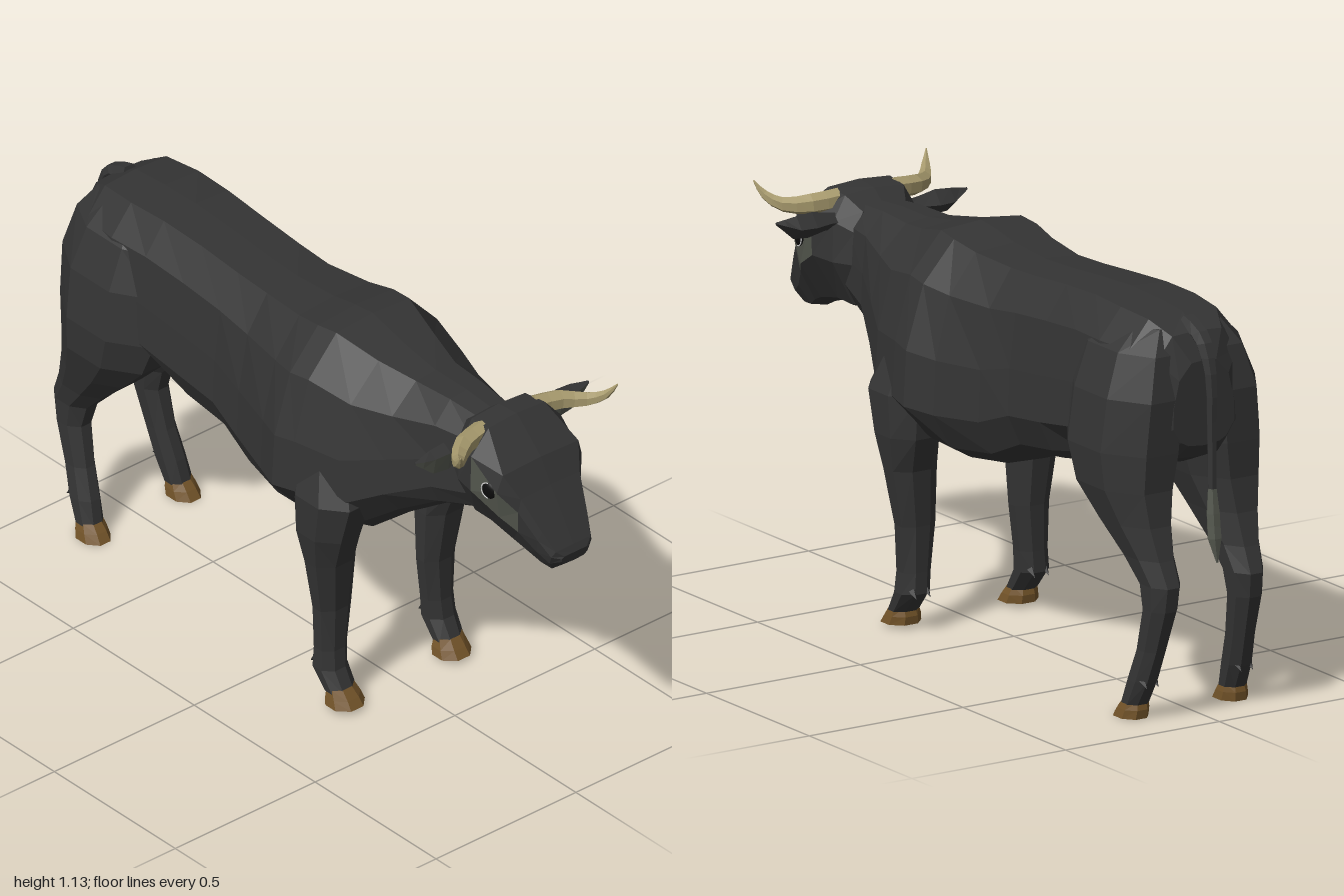
import * as THREE from 'three';

const mat = (name, color) => Object.assign(new THREE.MeshStandardMaterial({ color }), { name });

// Faceted skin over a list of rings; pick(segment, edge) true gives the second material.
function loft(name, rings, mats, pick = () => false) {
  const lists = [[], []];
  const n = rings[0].length;
  const add = (k, a, b, c) => lists[k].push([a, b, c]);
  for (let i = 0; i < rings.length - 1; i++) {
    for (let j = 0; j < n; j++) {
      const k = (j + 1) % n, m = pick(i, j) ? 1 : 0;
      const [a, b, c, d] = [rings[i][j], rings[i][k], rings[i + 1][k], rings[i + 1][j]];
      add(m, a, b, c);
      add(m, a, c, d);
    }
  }
  const first = rings[0], last = rings[rings.length - 1];
  for (let j = 1; j < n - 1; j++) {
    add(0, first[0], first[j + 1], first[j]);
    add(0, last[0], last[j], last[j + 1]);
  }
  // Signed volume tells whether the corners need turning outward
  const v = (p) => new THREE.Vector3(...p);
  let volume = 0;
  for (const [a, b, c] of [...lists[0], ...lists[1]]) volume += v(a).dot(v(b).cross(v(c)));
  const flat = lists.map((l) => l.flatMap(([a, b, c]) => (volume > 0 ? [...a, ...b, ...c] : [...a, ...c, ...b])));
  const geo = new THREE.BufferGeometry();
  geo.setAttribute('position', new THREE.Float32BufferAttribute([...flat[0], ...flat[1]], 3));
  geo.computeVertexNormals();
  if (Array.isArray(mats)) {
    geo.addGroup(0, flat[0].length / 3, 0);
    geo.addGroup(flat[0].length / 3, flat[1].length / 3, 1);
  }
  const mesh = new THREE.Mesh(geo, mats);
  mesh.name = name;
  return mesh;
}

// Closes a half outline (top centre to bottom centre) by mirroring it in x
const mirrorRing = (half) => [...half, ...half.slice(1, -1).reverse().map(([x, y, z]) => [-x, y, z])];

// Level eight-sided ring from [y, zFront, zBack, xInner, xOuter]
function levelRing([y, zf, zb, xi, xo], s) {
  const ring = [];
  const k = 0.5 / Math.cos(Math.PI / 8);
  for (let i = 0; i < 8; i++) {
    const a = ((i + 0.5) * Math.PI) / 4;
    ring.push([s * ((xi + xo) / 2 + (xo - xi) * k * Math.cos(a)), y, (zf + zb) / 2 + (zf - zb) * k * Math.sin(a)]);
  }
  return ring;
}

// Tapered tube along a smooth path; points are [x, y, z, radius]
function taper(name, pts, sides, steps, material) {
  const curve = new THREE.CatmullRomCurve3(pts.map((p) => new THREE.Vector3(p[0], p[1], p[2])));
  const frames = curve.computeFrenetFrames(steps);
  const rings = [];
  for (let i = 0; i <= steps; i++) {
    const t = i / steps, f = t * (pts.length - 1), q = Math.min(Math.floor(f), pts.length - 2);
    const r = THREE.MathUtils.lerp(pts[q][3], pts[q + 1][3], f - q), c = curve.getPoint(t);
    rings.push(Array.from({ length: sides }, (_, j) => {
      const a = (j / sides) * Math.PI * 2;
      return c.clone().addScaledVector(frames.normals[i], r * Math.cos(a))
        .addScaledVector(frames.binormals[i], r * Math.sin(a)).toArray();
    }));
  }
  return loft(name, rings, material);
}

export function createModel() {
  const hide = mat('black hide', 0x343434);
  const grey = mat('grey hair', 0x54574e);
  const horn = mat('horn', 0xa5986c);
  const hoof = mat('hoof', 0x735429);
  const black = mat('eye black', 0x0c0c0c);
  const white = mat('eye white', 0xd8d8d8);
  const model = new THREE.Group();
  model.name = 'bull';

  // Neck, chest, barrel and rump: z, top, bottom, half widths at back, shoulder, flank, underside
  const body = [
    [0.68, 1.07, 0.78, 0.05, 0.09, 0.1, 0.05],
    [0.55, 1.08, 0.74, 0.06, 0.115, 0.13, 0.07],
    [0.42, 1.08, 0.655, 0.07, 0.155, 0.19, 0.09],
    [0.3, 1.1, 0.56, 0.1, 0.2, 0.25, 0.12],
    [0.16, 1.135, 0.54, 0.13, 0.23, 0.288, 0.14],
    [0.09, 1.127, 0.53, 0.135, 0.235, 0.3, 0.145],
    [0, 1.11, 0.522, 0.125, 0.21, 0.262, 0.14],
    [-0.15, 1.1, 0.538, 0.11, 0.18, 0.217, 0.12],
    [-0.27, 1.105, 0.595, 0.11, 0.175, 0.2, 0.11],
    [-0.42, 1.117, 0.615, 0.11, 0.175, 0.2, 0.11],
    [-0.57, 1.125, 0.645, 0.115, 0.18, 0.205, 0.1],
    [-0.7, 1.122, 0.67, 0.12, 0.19, 0.215, 0.09],
    [-0.82, 1.113, 0.69, 0.11, 0.175, 0.2, 0.08],
    [-0.89, 1.075, 0.72, 0.08, 0.13, 0.16, 0.07],
    [-0.925, 1.0, 0.76, 0.04, 0.08, 0.1, 0.05],
  ];
  model.add(loft('body', body.map(([z, t, b, w0, w1, w2, w3]) => {
    const h = t - b;
    return mirrorRing([[0, t, z], [w0, t - 0.015 * h, z], [w1, t - 0.2 * h, z], [w2 * 0.97, t - 0.5 * h, z],
      [w2, t - 0.76 * h, z], [w3 * 1.45, t - 0.93 * h, z], [w3, b + 0.005, z], [0, b, z]]);
  }), hide));

  // Head: top z, y; bottom z, y; half widths at forehead, eye, cheek, jaw
  const head = [
    [0.63, 1.06, 0.62, 0.79, 0.07, 0.1, 0.11, 0.06],
    [0.68, 1.1, 0.67, 0.76, 0.095, 0.135, 0.14, 0.075],
    [0.755, 1.107, 0.74, 0.765, 0.1, 0.16, 0.158, 0.08],
    [0.855, 1.015, 0.825, 0.75, 0.135, 0.152, 0.135, 0.075],
    [0.895, 0.945, 0.87, 0.735, 0.105, 0.112, 0.105, 0.065],
    [0.955, 0.855, 0.91, 0.715, 0.08, 0.088, 0.08, 0.05],
    [0.99, 0.8, 0.95, 0.715, 0.062, 0.072, 0.066, 0.045],
    [0.999, 0.78, 0.993, 0.75, 0.04, 0.048, 0.046, 0.035],
  ];
  model.add(loft('head', head.map(([zt, yt, zb, yb, w0, w1, w2, w3]) => {
    const at = (x, f) => [x, yt + (yb - yt) * f, zt + (zb - zt) * f];
    return mirrorRing([at(0, 0), at(w0, 0.02), at(w1, 0.22), at(w2, 0.55), at(w3, 0.93), at(0, 1)]);
  }), [hide, grey], (i, j) => (i === 2 || i === 3) && (j === 2 || j === 7)));

  // Leg sections: y, z front, z back, x inner, x outer
  const foreleg = [
    [0.84, 0.27, 0.1, 0.1, 0.24], [0.68, 0.34, 0.11, 0.11, 0.292], [0.56, 0.305, 0.12, 0.125, 0.286],
    [0.46, 0.268, 0.155, 0.125, 0.268], [0.3, 0.246, 0.165, 0.13, 0.24], [0.17, 0.244, 0.165, 0.145, 0.235],
    [0.11, 0.25, 0.163, 0.148, 0.24], [0.05, 0.283, 0.215, 0.15, 0.235],
  ];
  const hindleg = [
    [1.085, -0.62, -0.86, 0.03, 0.13], [1.02, -0.55, -0.9, 0.01, 0.195], [0.9, -0.54, -0.925, 0.005, 0.24],
    [0.75, -0.535, -0.92, 0.005, 0.258], [0.645, -0.58, -0.913, 0.03, 0.25], [0.55, -0.675, -0.925, 0.06, 0.222],
    [0.46, -0.775, -0.95, 0.082, 0.195], [0.39, -0.845, -0.98, 0.088, 0.182], [0.32, -0.866, -0.968, 0.095, 0.18],
    [0.2, -0.84, -0.93, 0.108, 0.18], [0.11, -0.81, -0.9, 0.115, 0.19], [0.04, -0.792, -0.862, 0.122, 0.195],
  ];
  const foreHoof = [[0.06, 0.278, 0.22, 0.153, 0.232], [0.035, 0.3, 0.213, 0.143, 0.238], [0.012, 0.317, 0.215, 0.138, 0.243]];
  const hindHoof = [[0.048, -0.795, -0.86, 0.125, 0.193], [0.025, -0.775, -0.865, 0.12, 0.2], [0, -0.758, -0.862, 0.118, 0.205]];

  for (const s of [1, -1]) {
    const side = s > 0 ? 'left' : 'right';
    const legPart = (name, rows, m) => model.add(loft(side + name, rows.map((r) => levelRing(r, s)), m));
    legPart('ForeLeg', foreleg, hide);
    legPart('HindLeg', hindleg, hide);
    legPart('ForeHoof', foreHoof, hoof);
    legPart('HindHoof', hindHoof, hoof);

    // Dewclaws behind the fetlocks
    for (const [x, y, z] of [[0.17, 0.11, 0.163], [0.215, 0.11, 0.163], [0.135, 0.105, -0.895], [0.172, 0.105, -0.895]]) {
      const claw = new THREE.Mesh(new THREE.ConeGeometry(0.011, 0.03, 4).toNonIndexed(), hide);
      claw.geometry.computeVertexNormals();
      claw.position.set(s * x, y, z);
      claw.rotation.x = -2.3;
      claw.name = side + 'Dewclaw';
      model.add(claw);
    }

    // Ear: x, top, bottom, z, half thickness, with a grey inner face
    const ear = [
      [0.1, 1.045, 1.0, 0.685, 0.015], [0.15, 1.052, 0.998, 0.685, 0.02], [0.2, 1.062, 0.985, 0.685, 0.03],
      [0.25, 1.058, 0.99, 0.685, 0.026], [0.285, 1.052, 1.02, 0.69, 0.015], [0.31, 1.048, 1.04, 0.693, 0.004],
    ];
    model.add(loft(side + 'Ear', ear.map(([x, t, b, z, d]) => [
      [s * x, t, z], [s * x, t * 0.75 + b * 0.25, z + d], [s * x, b, z + d * 0.6], [s * x, (t + b) / 2, z - d],
    ]), [hide, grey], (i, j) => j === 1));

    // Horn
    model.add(taper(side + 'Horn', [
      [s * 0.09, 1.075, 0.72, 0.03], [s * 0.17, 1.068, 0.735, 0.029], [s * 0.23, 1.065, 0.78, 0.021],
      [s * 0.262, 1.088, 0.822, 0.013], [s * 0.281, 1.125, 0.848, 0.002],
    ], 6, 8, horn));

    // Eye with a thin pale rim
    const eye = new THREE.Group();
    eye.name = side + 'Eye';
    const ball = new THREE.Mesh(new THREE.SphereGeometry(0.023, 10, 8), black);
    ball.scale.set(1, 1.1, 0.4);
    const rim = new THREE.Mesh(new THREE.TorusGeometry(0.024, 0.002, 4, 12, Math.PI), white);
    rim.rotation.z = s > 0 ? -Math.PI / 2 : Math.PI / 2;
    rim.position.z = 0.004;
    eye.add(ball, rim);
    eye.position.set(s * 0.153, 0.953, 0.818);
    eye.rotation.y = s * 1.4;
    model.add(eye);
  }

  // Tail and its tuft
  model.add(taper('tail', [
    [0, 1.085, -0.84, 0.03], [0, 1.06, -0.915, 0.025], [0, 0.97, -0.957, 0.018], [0, 0.8, -0.963, 0.014], [0, 0.63, -0.966, 0.013],
  ], 6, 10, hide));
  model.add(taper('tailTuft', [
    [0, 0.66, -0.965, 0.012], [0, 0.58, -0.97, 0.02], [0, 0.51, -0.977, 0.021], [0, 0.445, -0.99, 0.003],
  ], 6, 6, grey));
  return model;
}
